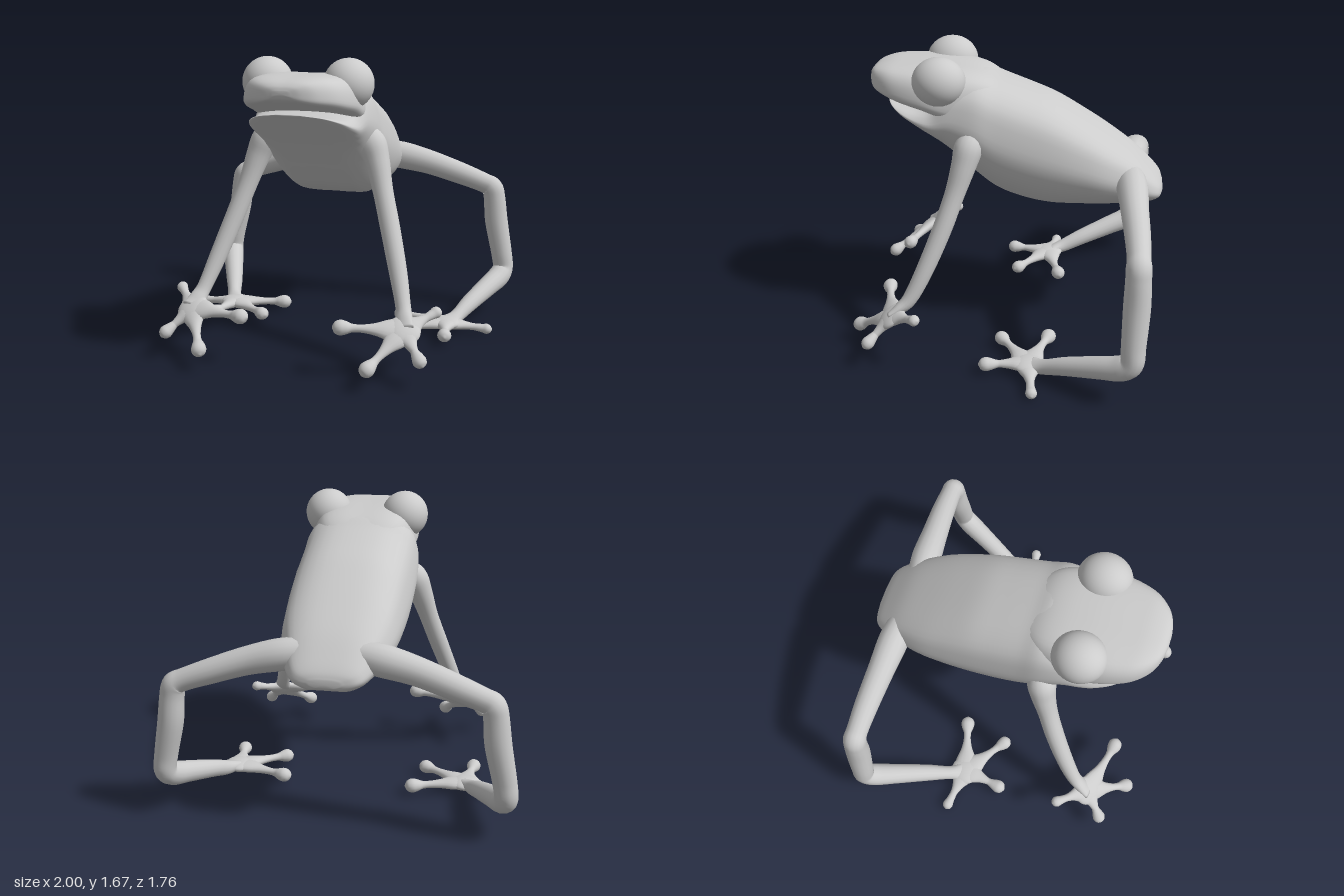
import * as THREE from 'three';

const material = new THREE.MeshStandardMaterial({ color: 0xcccccc });
const V = (x, y, z) => new THREE.Vector3(x, y, z);

function mesh(name, geometry) {
  const m = new THREE.Mesh(geometry, material);
  m.name = name;
  return m;
}

// Closed, smooth skin over a list of equal-length rings
function skin(rings) {
  const n = rings[0].length, last = rings.length - 1;
  const centre = r => r.reduce((a, p) => a.add(p), V(0, 0, 0)).divideScalar(n);
  const points = [...rings.flat(), centre(rings[0]), centre(rings[last])];
  const index = [], c0 = n * rings.length;
  for (let i = 0; i < n; i++) {
    const j = (i + 1) % n;
    for (let r = 0; r < last; r++) {
      const a = r * n, b = a + n;
      index.push(a + i, a + j, b + i, a + j, b + j, b + i);
    }
    index.push(c0, j, i, c0 + 1, last * n + i, last * n + j);
  }
  const g = new THREE.BufferGeometry().setFromPoints(points);
  g.setIndex(index);
  g.computeVertexNormals();
  return g;
}

const spline = (pts, closed = false) => new THREE.CatmullRomCurve3(pts, closed, 'catmullrom', 0.5);

// Stations [z, top, bottom, halfWidth] with a half outline [width fraction, height fraction]
function trunk(stations, outline, steps) {
  const left = outline.map(([x, y]) => V(x, y, 0));
  const right = outline.slice(1, -1).reverse().map(([x, y]) => V(-x, y, 0));
  const section = spline([...left, ...right], true).getPoints(48).slice(0, 48);
  const heights = spline(stations.map(s => V(s[0], s[1], s[2])));
  const widths = spline(stations.map(s => V(s[3], 0, 0)));
  const rings = [];
  for (let k = 0; k <= steps; k++) {
    const h = heights.getPoint(k / steps), w = widths.getPoint(k / steps).x;
    rings.push(section.map(p => V(p.x * w, h.z + p.y * (h.y - h.z), h.x)));
  }
  return skin(rings);
}

// Tapering limb through [x, y, z, radius, thickness]; up sets the flat direction
function limb(stations, up, steps, sides = 16) {
  const path = spline(stations.map(s => V(s[0], s[1], s[2])));
  const radii = spline(stations.map(s => V(s[3], s[4] ?? s[3], 0)));
  const rings = [];
  let side = up.clone().cross(path.getTangent(0));
  for (let k = 0; k <= steps; k++) {
    const p = path.getPoint(k / steps), t = path.getTangent(k / steps), r = radii.getPoint(k / steps);
    side = side.clone().addScaledVector(t, -side.dot(t)).normalize();
    const normal = t.clone().cross(side);
    rings.push(Array.from({ length: sides }, (_, i) => {
      const a = i / sides * Math.PI * 2;
      return p.clone().addScaledVector(side, Math.cos(a) * r.x).addScaledVector(normal, Math.sin(a) * r.y);
    }));
  }
  return skin(rings);
}

// Webbed foot: flat palm and four toes ending in round pads
function foot(name, palm, up, toes, s) {
  const g = new THREE.Group();
  g.name = name;
  const c = V(s * palm[0], palm[1], palm[2]);
  const n = V(s * up[0], up[1], up[2]).normalize();
  const pad = mesh('palm', new THREE.SphereGeometry(1, 24, 14));
  pad.scale.set(0.092, 0.034, 0.092);
  pad.position.copy(c);
  pad.quaternion.setFromUnitVectors(V(0, 1, 0), n);
  g.add(pad);
  // fraction of toe length, width, thickness
  const taper = [[0, 0.085, 0.03], [0.25, 0.062, 0.03], [0.45, 0.036, 0.025], [0.65, 0.023, 0.021]];
  for (const [x, y, z, r] of toes) {
    const tip = V(s * x, y, z), length = tip.distanceTo(c);
    const rows = [...taper, [1 - 1.5 * r / length, 0.024, 0.023], [1 - 0.75 * r / length, r * 0.85, r * 0.8],
      [1, r, r * 0.95], [1 + 0.65 * r / length, r * 0.75, r * 0.7], [1 + r / length, r * 0.15, r * 0.15]];
    const path = rows.map(([f, w, h]) => {
      const p = c.clone().lerp(tip, f);
      return [p.x, p.y, p.z, w, h];
    });
    g.add(mesh('toe', limb(path, n, 32)));
  }
  return g;
}

export function createModel() {
  const model = new THREE.Group();
  model.name = 'frog';

  // Body running forward into the lower jaw
  model.add(mesh('bodyAndLowerJaw', trunk([
    [-0.885, 0.92, 0.88, 0.08], [-0.865, 0.96, 0.86, 0.165], [-0.81, 1.02, 0.842, 0.215],
    [-0.7, 1.12, 0.834, 0.26], [-0.55, 1.225, 0.829, 0.305], [-0.4, 1.32, 0.826, 0.325],
    [-0.25, 1.405, 0.828, 0.335], [-0.1, 1.465, 0.855, 0.34], [0.05, 1.52, 0.91, 0.342],
    [0.17, 1.565, 1.0, 0.342], [0.3, 1.53, 1.115, 0.325], [0.4, 1.42, 1.195, 0.31],
    [0.48, 1.385, 1.255, 0.295], [0.58, 1.385, 1.325, 0.255], [0.65, 1.395, 1.375, 0.18],
    [0.69, 1.405, 1.398, 0.07],
  ], [[0, 0], [0.38, 0], [0.6, 0.03], [0.87, 0.2], [1, 0.42], [0.97, 0.63], [0.84, 0.84], [0.5, 0.97], [0, 1]], 75)));

  // Upper head and snout
  model.add(mesh('upperHead', trunk([
    [0.02, 1.49, 1.38, 0.18], [0.12, 1.55, 1.33, 0.26], [0.22, 1.58, 1.32, 0.295],
    [0.35, 1.595, 1.35, 0.31], [0.46, 1.6, 1.39, 0.31], [0.58, 1.6, 1.42, 0.285],
    [0.67, 1.597, 1.445, 0.245], [0.74, 1.582, 1.465, 0.18], [0.775, 1.56, 1.485, 0.11],
    [0.788, 1.535, 1.51, 0.04],
  ], [[0, 0.06], [0.5, 0.04], [0.85, 0], [0.98, 0.1], [1, 0.3], [0.94, 0.65], [0.78, 0.9], [0.45, 1], [0, 1]], 45)));

  for (const s of [1, -1]) {
    const tag = s > 0 ? 'left' : 'right';
    const flip = rows => rows.map(([x, ...rest]) => [s * x, ...rest]);

    // Bulging eye
    const eye = mesh(tag + 'Eye', new THREE.SphereGeometry(1, 32, 20));
    eye.scale.set(0.138, 0.138, 0.15);
    eye.position.set(s * 0.232, 1.542, 0.367);
    model.add(eye);

    // Front leg from shoulder to wrist
    model.add(mesh(tag + 'FrontLeg', limb(flip([
      [0.27, 1.27, 0.17, 0.05], [0.315, 1.2, 0.195, 0.08], [0.355, 1.1, 0.22, 0.07],
      [0.4, 0.95, 0.265, 0.057], [0.46, 0.76, 0.33, 0.055], [0.53, 0.54, 0.42, 0.05],
      [0.58, 0.38, 0.5, 0.042], [0.6, 0.32, 0.56, 0.05, 0.032], [0.61, 0.285, 0.61, 0.06, 0.02],
    ]), V(0, 0, 1), 40)));
    model.add(foot(tag + 'FrontFoot', [0.61, 0.275, 0.605], [0.19, 0.8, 0.57], [
      [0.285, 0.285, 0.685, 0.043], [0.472, 0.125, 0.83, 0.042],
      [0.725, 0.16, 0.72, 0.038], [0.75, 0.34, 0.445, 0.032],
    ], s));

    // Hind leg: thigh, shin and long ankle with tight bends
    model.add(mesh(tag + 'HindLeg', limb(flip([
      [0.12, 1.0, -0.69, 0.08], [0.27, 0.985, -0.71, 0.088], [0.45, 0.945, -0.725, 0.078],
      [0.65, 0.88, -0.745, 0.07], [0.8, 0.825, -0.755, 0.063], [0.85, 0.795, -0.757, 0.068],
      [0.868, 0.73, -0.757, 0.068], [0.885, 0.58, -0.757, 0.072], [0.925, 0.38, -0.75, 0.066],
      [0.938, 0.28, -0.745, 0.064], [0.918, 0.232, -0.69, 0.068], [0.87, 0.195, -0.58, 0.062],
      [0.79, 0.135, -0.4, 0.052], [0.735, 0.085, -0.27, 0.042], [0.7, 0.07, -0.19, 0.06, 0.026],
    ]), V(0, 0, 1), 84)));
    model.add(foot(tag + 'HindFoot', [0.685, 0.07, -0.18], [0, 1, 0], [
      [0.385, 0.065, -0.27, 0.043], [0.435, 0.065, 0.0, 0.041],
      [0.722, 0.07, 0.055, 0.041], [0.925, 0.04, -0.22, 0.032],
    ], s));
  }
  return model;
}
